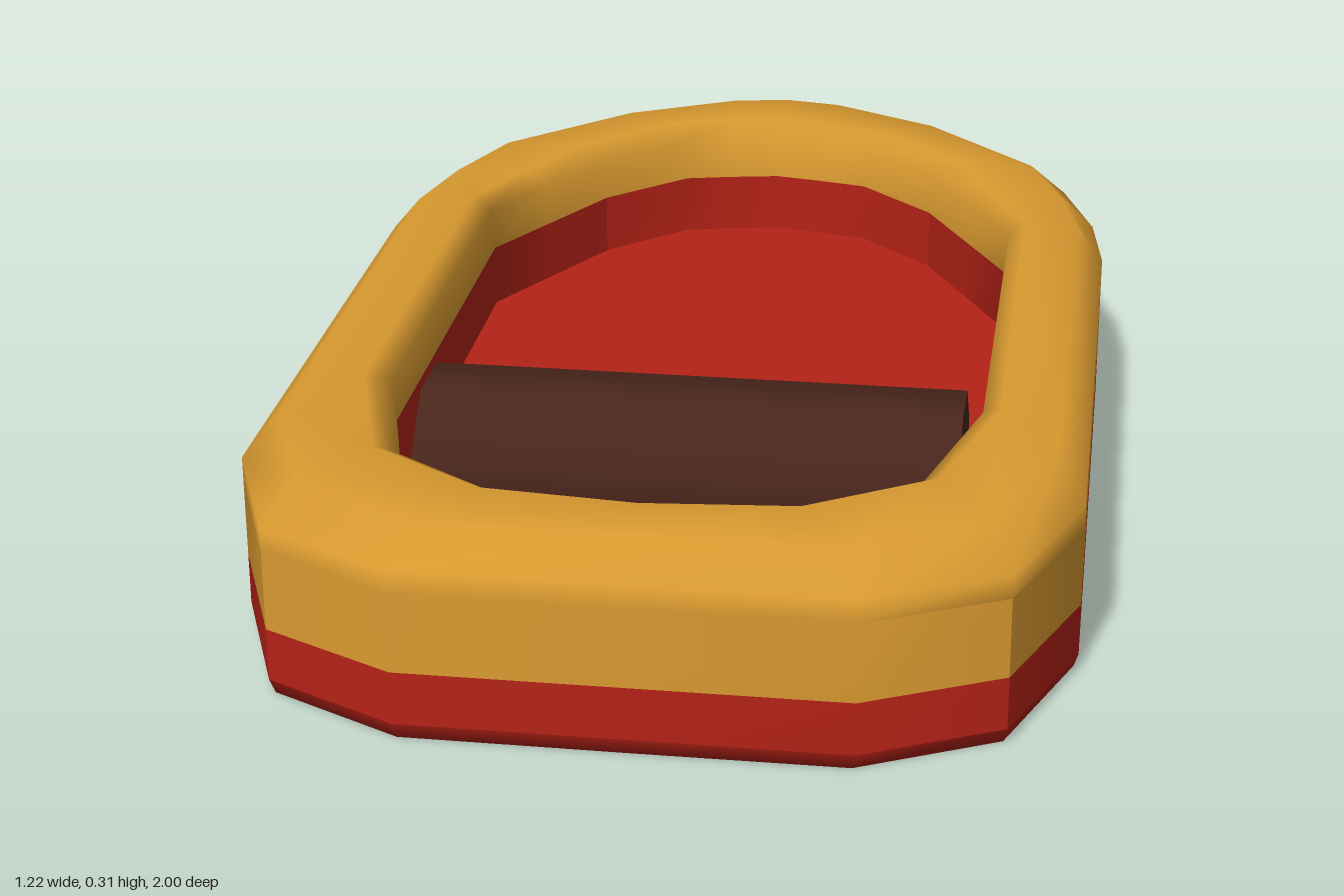
import * as THREE from 'three';
import { mergeGeometries } from 'three/addons/utils/BufferGeometryUtils.js';

// Half outlines in plan [x, z], from the pointed back to the flat front
const OUTER = [[0, -1], [0.105, -0.98], [0.32, -0.855], [0.535, -0.63], [0.59, -0.46],
  [0.61, -0.3], [0.61, 0.67], [0.52, 0.9], [0.32, 1], [0, 1]];
const INNER = [[0, -0.79], [0.08, -0.775], [0.165, -0.755], [0.295, -0.63], [0.37, -0.49],
  [0.445, -0.35], [0.445, 0.4], [0.375, 0.66], [0.2, 0.78], [0, 0.805]];
const CORNERS = [3, 7, 11, 15]; // where the walls have a hard vertical edge

const mirror = (half) => [...half, ...half.slice(1, -1).reverse().map(([x, z]) => [-x, z])];
const outer = mirror(OUTER), inner = mirror(INNER), N = outer.length;

// Sweeps a section of [t, y] (t = 0 outer outline, t = 1 inner) along part or all of the ring
function loft(section, start = 0, count = N) {
  const closed = count === N, cols = closed ? N : count + 1, rows = section.length;
  const pos = [], idx = [];
  for (let i = 0; i < cols; i++) {
    const o = outer[(start + i) % N], n = inner[(start + i) % N];
    for (const [t, y] of section) pos.push(o[0] + (n[0] - o[0]) * t, y, o[1] + (n[1] - o[1]) * t);
  }
  for (let i = 0; i < count; i++) {
    for (let j = 0; j < rows - 1; j++) {
      const a = i * rows + j, c = ((i + 1) % cols) * rows + j;
      idx.push(a, a + 1, c, c, a + 1, c + 1);
    }
  }
  const geo = new THREE.BufferGeometry();
  geo.setAttribute('position', new THREE.Float32BufferAttribute(pos, 3));
  geo.setIndex(idx);
  geo.computeVertexNormals();
  return geo;
}

// Wall in four panels, smooth within each and hard at the corners
const panels = (section) => CORNERS.map((c, k) => loft(section, c, (CORNERS[(k + 1) % 4] - c + N) % N));

// Flat plate filling an outline, facing up or down
function plate(points, y, up) {
  const s = up ? -1 : 1;
  const shape = new THREE.Shape(points.map(([x, z]) => new THREE.Vector2(x, s * z)));
  return new THREE.ShapeGeometry(shape).rotateX(s * Math.PI / 2).translate(0, y, 0);
}

export function createModel() {
  const model = new THREE.Group();
  model.name = 'raft';
  const yellow = new THREE.MeshStandardMaterial({ color: 0xd99a30 });
  const red = new THREE.MeshStandardMaterial({ color: 0xb52217 });
  const brown = new THREE.MeshStandardMaterial({ color: 0x4a261c });
  const add = (name, geo, material) => {
    const mesh = new THREE.Mesh(geo, material);
    mesh.name = name;
    model.add(mesh);
  };

  // Yellow tube: rounded rim over a straight outer wall
  add('tube', mergeGeometries([
    loft([[0, 0.225], [0, 0.26], [0.25, 0.308], [0.8, 0.308], [0.97, 0.28], [1, 0.21]]),
    ...panels([[0, 0.105], [0, 0.225]]),
  ]), yellow);

  // Red hull: outer band with a softened bottom edge, and inner wall
  add('hull', mergeGeometries([
    loft([[0.3, 0], [0.04, 0], [0, 0.025]]),
    ...panels([[0, 0.025], [0, 0.105]]),
    ...panels([[1, 0.21], [1, 0.108]]),
  ]), red);
  add('floor', plate(inner, 0.108, true), red);
  const bottom = outer.map(([x, z], i) => [x + (inner[i][0] - x) * 0.3, z + (inner[i][1] - z) * 0.3]);
  add('bottom', plate(bottom, 0, false), red);

  // Seat: upper part of an eight-sided roll, lying across the floor
  const radius = 0.135 / Math.cos(Math.PI / 8);
  const seat = new THREE.CylinderGeometry(radius, radius, 0.835, 5, 1, false, -Math.PI / 8, Math.PI * 1.25);
  add('seat', seat.rotateZ(Math.PI / 2).translate(0, 0.107, 0.298), brown);

  return model;
}
